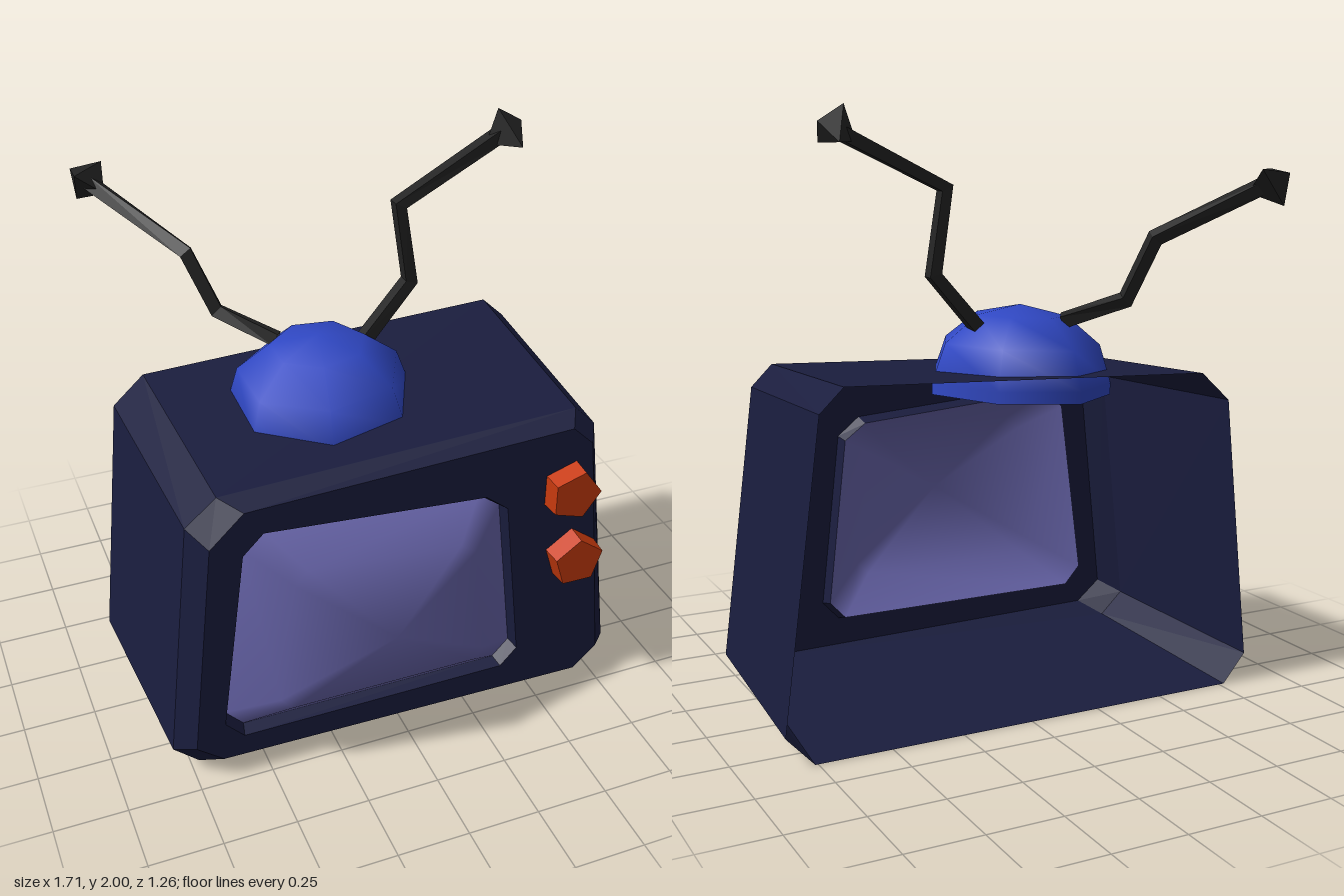
import * as THREE from 'three';
import { mergeVertices } from 'three/addons/utils/BufferGeometryUtils.js';

const V = (x, y, z) => new THREE.Vector3(x, y, z);
const UP = V(0, 1, 0);

function addMesh(parent, name, geometry, color, flat = true) {
  const material = new THREE.MeshStandardMaterial({ color, flatShading: flat, side: THREE.DoubleSide });
  const mesh = new THREE.Mesh(geometry, material);
  mesh.name = name;
  parent.add(mesh);
  return mesh;
}

// Skin closed rings of equal point count
function loft(rings) {
  const n = rings[0].length, index = [];
  for (let r = 0; r < rings.length - 1; r++) {
    for (let i = 0; i < n; i++) {
      const j = (i + 1) % n, a = r * n, b = a + n;
      index.push(a + i, a + j, b + j, a + i, b + j, b + i);
    }
  }
  let geometry = new THREE.BufferGeometry().setFromPoints(rings.flat());
  geometry.setIndex(index);
  geometry = mergeVertices(geometry, 1e-4);
  geometry.computeVertexNormals();
  return geometry;
}

const ring = (outline, z) => outline.map(([x, y]) => V(x, y, z));
const shrink = (outline, [cx, cy], s) => outline.map(([x, y]) => [cx + (x - cx) * s, cy + (y - cy) * s]);

// Lopsided octagons, anticlockwise from bottom left
const backOutline = [[-0.77, 0], [0.76, 0], [0.853, 0.1], [0.725, 1.09], [0.645, 1.167], [-0.645, 1.12], [-0.755, 1.02], [-0.855, 0.1]];
const midOutline = [[-0.73, 0.04], [0.72, 0.035], [0.81, 0.12], [0.69, 1.06], [0.615, 1.135], [-0.615, 1.09], [-0.72, 1.0], [-0.815, 0.12]];
const frontOutline = [[-0.66, 0.085], [0.66, 0.06], [0.745, 0.14], [0.65, 1.03], [0.575, 1.103], [-0.55, 1.06], [-0.665, 0.95], [-0.75, 0.16]];
const opening = [[-0.585, 0.165], [0.36, 0.165], [0.42, 0.23], [0.35, 0.845], [0.27, 0.91], [-0.49, 0.97], [-0.56, 0.9], [-0.648, 0.235]];
const screenEdge = [[-0.575, 0.178], [0.35, 0.178], [0.408, 0.24], [0.34, 0.835], [0.262, 0.893], [-0.482, 0.955], [-0.55, 0.89], [-0.635, 0.245]];

function addAntenna(parent, name, path, tipTurn) {
  const color = 0x242424;
  const antenna = new THREE.Group();
  antenna.name = name;
  parent.add(antenna);
  const dirs = path.slice(1).map((p, i) => p.clone().sub(path[i]).normalize());
  // Four-sided rod with mitred bends
  const rings = path.map((p, i) => {
    const before = dirs[Math.max(i - 1, 0)], after = dirs[Math.min(i, dirs.length - 1)];
    const d = before.clone().add(after).normalize();
    const v = V(0, 0, 1).addScaledVector(d, -d.z).normalize();
    const u = v.clone().cross(d);
    return [0, 1, 2, 3].map(k => {
      const a = (k + 0.5) * Math.PI / 2, r = 0.031;
      return p.clone().addScaledVector(u, r * Math.cos(a)).addScaledVector(v, r * Math.sin(a));
    });
  });
  addMesh(antenna, name + 'Rod', loft(rings), color);

  // Three-sided double pyramid on the end
  const end = path[path.length - 1], d = dirs[dirs.length - 1];
  const up = UP.clone().addScaledVector(d, -d.y).normalize();
  const side = d.clone().cross(up);
  const section = (along, r) => [0, 1, 2].map(k => {
    const a = tipTurn + k * Math.PI * 2 / 3;
    return end.clone().addScaledVector(d, along)
      .addScaledVector(up, r * Math.cos(a)).addScaledVector(side, r * Math.sin(a));
  });
  addMesh(antenna, name + 'Tip', loft([section(-0.085, 0), section(0, 0.087), section(0.06, 0)]), color);
}

export function createModel() {
  const model = new THREE.Group();
  model.name = 'television';
  const bodyColor = 0x1a1d3e, red = 0xc83a0e, blue = 0x3048c4;

  // Cabinet: open-backed shell, front panel and sloped recess
  const cabinet = new THREE.Group();
  cabinet.name = 'cabinet';
  model.add(cabinet);
  addMesh(cabinet, 'cabinetShell', loft([ring(backOutline, -0.355), ring(midOutline, 0.405), ring(frontOutline, 0.475)]), bodyColor);
  const panel = new THREE.Shape(frontOutline.map(p => new THREE.Vector2(...p)));
  panel.holes.push(new THREE.Path(opening.map(p => new THREE.Vector2(...p))));
  addMesh(cabinet, 'frontPanel', new THREE.ShapeGeometry(panel).translate(0, 0, 0.475), bodyColor);
  addMesh(cabinet, 'screenRecess', loft([ring(opening, 0.475), ring(screenEdge, 0.43)]), bodyColor);

  // Bulging screen
  const centre = [-0.11, 0.575];
  addMesh(model, 'screen', loft([
    ring(screenEdge, 0.43), ring(shrink(screenEdge, centre, 0.7), 0.545), ring(shrink(screenEdge, centre, 0), 0.645),
  ]), 0x6a67ae, false);

  // Five-sided knobs, open at the back
  [[0.565, 0.883, 0], [0.598, 0.603, 0.3]].forEach(([x, y, turn], i) => {
    const pentagon = r => [0, 1, 2, 3, 4].map(k => {
      const a = turn + k * Math.PI * 2 / 5;
      return [x + r * Math.cos(a), y + r * Math.sin(a)];
    });
    addMesh(model, i ? 'lowerKnob' : 'upperKnob', loft([
      ring(pentagon(0.098), 0.455), ring(pentagon(0.092), 0.545), ring(pentagon(0), 0.545),
    ]), red);
  });

  // Seven-sided antenna dome with a rim passing through the roof
  const base = new THREE.Group();
  base.name = 'antennaBase';
  base.position.set(-0.12, 1.087, -0.012);
  base.rotation.z = 0.04;
  model.add(base);
  const dome = new THREE.SphereGeometry(0.32, 7, 3, 0, Math.PI * 2, 0, Math.PI / 2);
  dome.rotateY(Math.PI).scale(1, 0.81, 1);
  addMesh(base, 'dome', dome, blue, false);
  const rim = new THREE.CylinderGeometry(0.32, 0.32, 0.04, 7, 1, true);
  rim.rotateY(-Math.PI / 2).translate(0, -0.02, 0);
  rim.rotateY(Math.PI);
  addMesh(base, 'domeRim', rim, blue, false);

  // Bent antennas
  addAntenna(model, 'leftAntenna', [V(0.05, 1.28, -0.045), V(0.215, 1.46, -0.06), V(0.17, 1.74, -0.055), V(0.565, 1.922, -0.095)], 0);
  addAntenna(model, 'rightAntenna', [V(-0.235, 1.295, -0.12), V(-0.4, 1.37, -0.25), V(-0.48, 1.575, -0.3), V(-0.735, 1.762, -0.58)], 1.05);
  return model;
}
